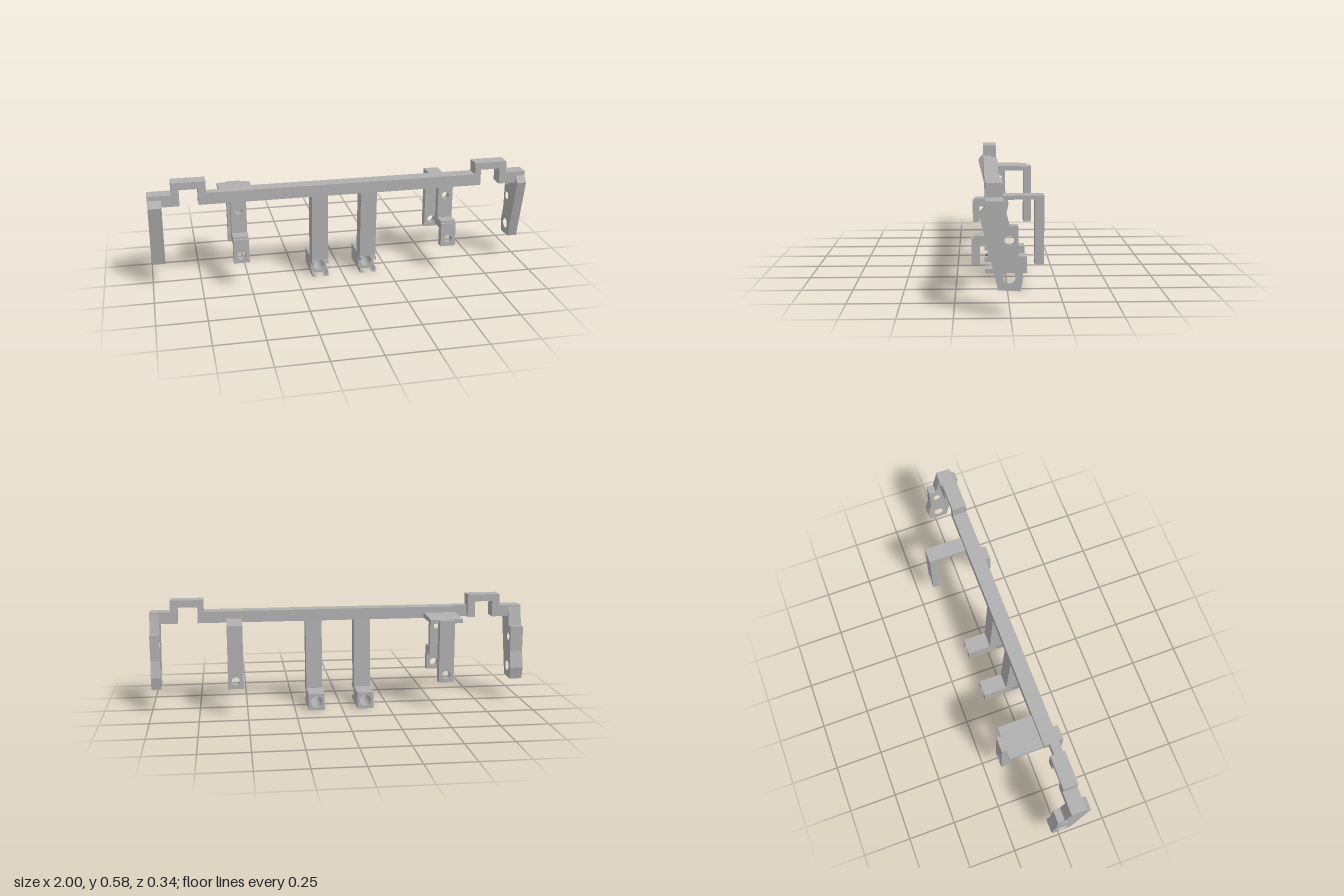
import * as THREE from 'three';

export function createModel() {
  const root = new THREE.Group();
  root.name = 'mountingBracket';
  const grey = new THREE.MeshStandardMaterial({ color: 0xb0b0b0 });
  grey.name = 'plain grey';

  const makeShape = (points, holes = []) => {
    const shape = new THREE.Shape(points.map(([x, y]) => new THREE.Vector2(x, y)));
    for (const [x, y, r] of holes) {
      shape.holes.push(new THREE.Path().absarc(x, y, r, 0, Math.PI * 2, true));
    }
    return shape;
  };
  const rect = (x0, x1, y0, y1) => [[x0, y0], [x1, y0], [x1, y1], [x0, y1]];
  const add = (name, geometry, parent = root) => {
    const mesh = new THREE.Mesh(geometry, grey);
    mesh.name = name;
    parent.add(mesh);
  };
  // Outline in x, y extruded from z0 to z1
  const alongZ = (shape, z0, z1) =>
    new THREE.ExtrudeGeometry(shape, { depth: z1 - z0, bevelEnabled: false, curveSegments: 16 })
      .translate(0, 0, z0);
  // Outline in z, y extruded from x0 to x1
  const alongX = (shape, x0, x1) =>
    new THREE.ExtrudeGeometry(shape, { depth: x1 - x0, bevelEnabled: false, curveSegments: 16 })
      .rotateY(-Math.PI / 2).translate(x1, 0, 0);

  // Crossbar with a raised step near each end; a short piece is thinned at the back
  const B = 0.455, T = 0.516;
  add('crossbarRightEnd', alongZ(makeShape([
    [-1, B], [-0.84, B], [-0.84, 0.54], [-0.745, 0.54], [-0.745, B], [-0.705, B],
    [-0.705, 0.578], [-0.88, 0.578], [-0.88, T], [-1, T],
  ]), 0.031, 0.108));
  add('crossbarThinPart', alongZ(makeShape(rect(-0.705, -0.635, B, T)), 0.06, 0.108));
  add('crossbar', alongZ(makeShape([
    [-0.635, B], [0.75, B], [0.75, 0.54], [0.855, 0.54], [0.855, B], [1, B],
    [1, T], [0.892, T], [0.892, 0.578], [0.718, 0.578], [0.718, T], [-0.635, T],
  ]), 0.031, 0.108));

  // End plates
  const plate = makeShape([
    [0.108, 0.51], [0.108, 0.493], [0.137, 0.46], [0.055, 0.125], [-0.042, 0.12],
    [-0.054, 0.183], [-0.032, 0.27], [-0.032, 0.408], [0.005, 0.408], [0.032, 0.51],
  ], [[0.007, 0.346, 0.02], [0.007, 0.183, 0.027]]);
  add('rightEndPlate', alongX(plate, -0.999, -0.93));
  add('leftEndPlate', alongX(plate, 0.949, 0.999));

  // Front and rear hooks
  for (const [side, x] of [['right', -0.545], ['left', 0.56]]) {
    const hook = new THREE.Group();
    hook.name = side + 'Hooks';
    root.add(hook);
    const x0 = x - 0.04, x1 = x + 0.04;
    add('frontHookUpperLeg', alongZ(makeShape(rect(x0, x1, 0.284, B), [[x, 0.405, 0.02]]), 0.06, 0.099), hook);
    add('frontHookStep', alongX(makeShape([
      [0.06, 0.238], [0.172, 0.238], [0.172, 0.273], [0.16, 0.273], [0.16, 0.284], [0.06, 0.284],
    ]), x0, x1), hook);
    add('frontHookLowerLeg', alongZ(makeShape(rect(x0, x1, 0.145, 0.238), [[x, 0.185, 0.022]]), 0.132, 0.172), hook);
    add('rearHookLeg', alongZ(makeShape(rect(x0, x1, 0.145, 0.476), [[x, 0.185, 0.022]]), -0.172, -0.128), hook);
    add('rearHookArm', alongX(makeShape(rect(-0.13, 0.035, 0.457, 0.476)), x0, x1), hook);
  }
  // Wide plate over the right rear hook
  add('widePlate', alongX(makeShape([
    [0.035, 0.458], [0.035, 0.484], [-0.075, 0.484], [-0.15, 0.478], [-0.15, 0.458],
  ]), -0.632, -0.46));

  // Centre posts with bored blocks and corner prongs
  for (const [side, x] of [['right', -0.123], ['left', 0.138]]) {
    const post = new THREE.Group();
    post.name = side + 'CentrePost';
    root.add(post);
    const h = 0.043, cy = 0.044, r = 0.048;
    add('post', alongX(makeShape([
      [0.108, B], [0.031, B], [0.012, 0.088], [0.09, 0.088],
    ]), x - h, x + h), post);
    add('boredBlock', alongZ(makeShape(rect(x - h, x + h, 0, 0.088), [[x, cy, 0.03]]), -0.113, 0.05), post);
    const a0 = Math.acos(h / r), a1 = Math.asin(cy / r);
    for (const sx of [-1, 1]) for (const sy of [-1, 1]) {
      const corner = [[h, cy]];
      for (let i = 0; i <= 6; i++) {
        const a = a1 + (a0 - a1) * i / 6;
        corner.push([r * Math.cos(a), r * Math.sin(a)]);
      }
      add('prong', alongZ(makeShape(corner.map(([u, v]) => [x + sx * u, cy + sy * v])), 0.05, 0.105), post);
    }
  }
  return root;
}
